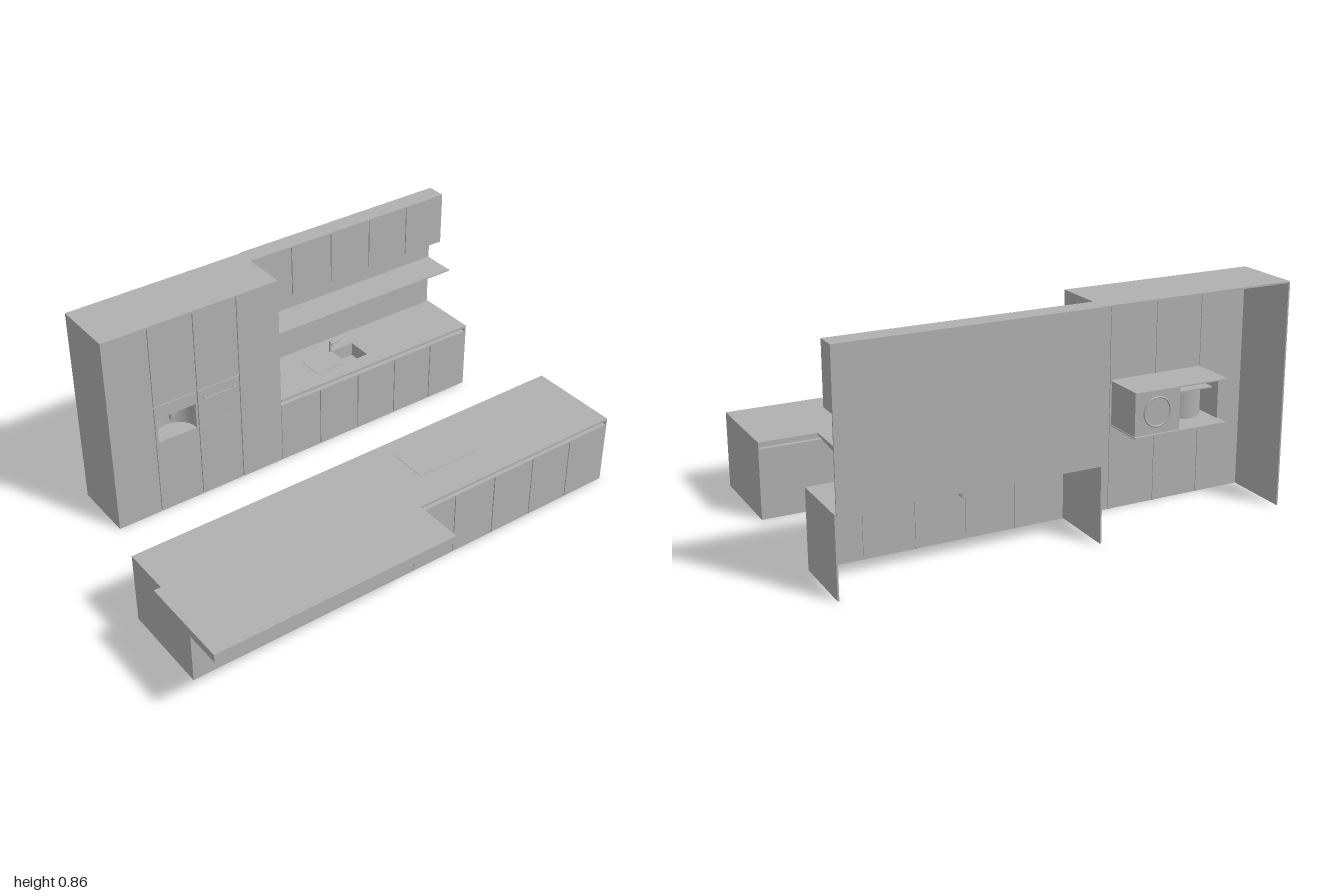
import * as THREE from 'three';

export function createModel() {
  const model = new THREE.Group();
  model.name = 'kitchen';
  const grey = new THREE.MeshStandardMaterial({ color: 0xb0b0b0, side: THREE.DoubleSide });
  grey.name = 'plain grey';

  const add = (name, geometry, parent = model) => {
    const mesh = new THREE.Mesh(geometry, grey);
    mesh.name = name;
    parent.add(mesh);
    return mesh;
  };
  // Box given by its minimum and maximum corners
  const box = (name, x0, x1, y0, y1, z0, z1, parent) => {
    const g = new THREE.BoxGeometry(x1 - x0, y1 - y0, z1 - z0);
    g.translate((x0 + x1) / 2, (y0 + y1) / 2, (z0 + z1) / 2);
    return add(name, g, parent);
  };
  const group = (name) => {
    const g = new THREE.Group();
    g.name = name;
    model.add(g);
    return g;
  };
  const T = 0.006; // panel thickness
  const GAP = 0.002; // half of a door seam
  // Row of door fronts split at the given x positions; z is the outer face
  const doors = (name, xs, y0, y1, z, parent, dir = 1) => {
    for (let i = 0; i + 1 < xs.length; i++) {
      const a = xs[i] + (i ? GAP : 0);
      const b = xs[i + 1] - (i + 2 < xs.length ? GAP : 0);
      box(name, a, b, y0, y1, Math.min(z, z - dir * T), Math.max(z, z - dir * T), parent);
      if (i) {
        const s = z - dir * T;
        box('seamStrip', xs[i] - 0.004, xs[i] + 0.004, y0, y1, Math.min(s, s - dir * 0.003), Math.max(s, s - dir * 0.003), parent);
      }
    }
  };
  // Recessed grip channel between the doors and the worktop
  const grip = (x0, x1, z, dir, parent) => {
    const inner = z - dir * 0.022;
    box('gripBack', x0, x1, 0.272, 0.29, Math.min(inner, inner + dir * 0.003), Math.max(inner, inner + dir * 0.003), parent);
    box('gripFloor', x0, x1, 0.27, 0.273, Math.min(z, inner), Math.max(z, inner), parent);
  };
  const bays = [0.02, 0.215, 0.41, 0.605, 0.8, 0.994];

  // Island with open underside
  const island = group('island');
  box('islandTop', -0.955, 1, 0.29, 0.3, 0.07, 0.455, island);
  box('islandLeftEnd', 0.994, 1, 0, 0.29, 0.07, 0.455, island);
  box('islandRightEnd', -0.955, -0.949, 0, 0.29, 0.07, 0.455, island);
  box('islandFrontPanel', -0.949, 0.018, 0, 0.29, 0.449, 0.455, island);
  doors('islandDoor', bays, 0, 0.272, 0.455, island);
  grip(0.02, 0.994, 0.455, 1, island);
  box('islandBackPanel', -0.949, 0.02, 0, 0.29, 0.07, 0.076, island);
  doors('islandBackDoor', [0.02, 0.21, 0.994], 0, 0.272, 0.07, island, -1);
  grip(0.02, 0.994, 0.07, -1, island);
  box('cooktop', 0.16, 0.44, 0.3, 0.3015, 0.15, 0.31, island);

  // Raised dining top on the island
  box('tableTop', -1, 0.018, 0.3, 0.333, 0.305, 0.69);

  // Tall cabinet, open at the back and underneath
  const tall = group('tallCabinet');
  const [a, b, c, d, e] = [-0.757, -0.565, -0.37, -0.175, 0.018];
  box('tallTop', a, e, 0.854, 0.86, -0.687, -0.42, tall);
  box('tallRightSide', a, a + T, 0, 0.854, -0.687, -0.42, tall);
  box('tallLeftSide', e - T, e, 0, 0.854, -0.687, -0.42, tall);
  box('tallDoor', a, b - GAP, 0, 0.854, -0.426, -0.42, tall);
  box('tallDoor', d + GAP, e, 0, 0.854, -0.426, -0.42, tall);
  doors('upperTallDoor', [b + GAP, c, d - GAP], 0.502, 0.854, -0.42, tall);
  doors('lowerTallDoor', [b + GAP, c, d - GAP], 0, 0.33, -0.42, tall);
  for (const x of [b, d]) box('seamStrip', x - 0.004, x + 0.004, 0, 0.854, -0.429, -0.426, tall);

  // Appliance compartment behind the doors
  box('compartmentFloor', b, d, 0.328, 0.333, -0.6, -0.421, tall);
  box('compartmentRoof', b, d, 0.495, 0.5, -0.6, -0.426, tall);
  box('compartmentSide', b, b + 0.004, 0.333, 0.495, -0.55, -0.427, tall);

  // Coffee niche with a curved back wall
  const niche = group('coffeeNiche');
  const wall = new THREE.CylinderGeometry(0.086, 0.086, 0.11, 24, 1, true, Math.PI / 2, Math.PI);
  add('nicheWall', wall, niche).position.set(-0.467, 0.389, -0.422);
  box('nicheTop', -0.555, -0.38, 0.444, 0.449, -0.52, -0.422, niche);
  box('nicheFascia', b + GAP, c - GAP, 0.444, 0.498, -0.426, -0.42, niche);
  for (const [x0, x1] of [[b + GAP, -0.553], [-0.381, c - GAP]])
    box('nicheFrame', x0, x1, 0.333, 0.444, -0.426, -0.42, niche);
  box('spoutBody', -0.482, -0.452, 0.42, 0.444, -0.5, -0.445, niche);
  const spout = add('spout', new THREE.CylinderGeometry(0.011, 0.011, 0.03, 16), niche);
  spout.position.set(-0.467, 0.407, -0.46);

  // Oven with bar handle and a fan ring on its rear
  const oven = group('oven');
  box('ovenBody', c + 0.003, d - 0.003, 0.333, 0.495, -0.59, -0.426, oven);
  box('ovenFront', c + GAP, d - GAP, 0.333, 0.498, -0.426, -0.42, oven);
  box('ovenHandle', -0.345, -0.2, 0.459, 0.465, -0.409, -0.404, oven);
  for (const x of [-0.342, -0.208]) box('handlePost', x, x + 0.005, 0.459, 0.465, -0.42, -0.409, oven);
  add('fanRing', new THREE.TorusGeometry(0.055, 0.004, 8, 32), oven).position.set(-0.272, 0.415, -0.59);

  // Base cabinet along the wall, open at the back and underneath
  const base = group('baseCabinet');
  box('baseEnd', 0.994, 1, 0, 0.29, -0.69, -0.42, base);
  doors('baseDoor', bays, 0, 0.272, -0.42, base);
  grip(0.02, 0.994, -0.42, 1, base);

  // Worktop with the sink opening cut out
  const sink = { x0: 0.4, x1: 0.51, z0: -0.6, z1: -0.49 };
  const top = new THREE.Shape([[0.02, 0.42], [1, 0.42], [1, 0.69], [0.02, 0.69]].map((p) => new THREE.Vector2(...p)));
  top.holes.push(new THREE.Path([[0.4, 0.49], [0.4, 0.6], [0.51, 0.6], [0.51, 0.49]].map((p) => new THREE.Vector2(...p))));
  const topGeometry = new THREE.ExtrudeGeometry(top, { depth: 0.01, bevelEnabled: false });
  topGeometry.rotateX(-Math.PI / 2);
  topGeometry.translate(0, 0.29, 0);
  add('worktop', topGeometry, base);
  const { x0, x1, z0, z1 } = sink;
  box('sinkFloor', x0, x1, 0.237, 0.24, z0, z1, base);
  for (const x of [x0 - 0.003, x1]) box('sinkSide', x, x + 0.003, 0.237, 0.29, z0, z1, base);
  for (const z of [z0 - 0.003, z1]) box('sinkSide', x0, x1, 0.237, 0.29, z, z + 0.003, base);
  box('drainBoard', 0.25, 0.385, 0.3, 0.3015, -0.6, -0.49, base);

  // Tap
  const tap = group('tap');
  const cyl = (name, r, h) => add(name, new THREE.CylinderGeometry(r, r, h, 12), tap);
  cyl('tapColumn', 0.006, 0.053).position.set(0.397, 0.3265, -0.602);
  const arm = cyl('tapSpout', 0.004, 0.055);
  arm.rotation.z = Math.PI / 2;
  arm.position.set(0.42, 0.337, -0.602);
  const lever = cyl('tapLever', 0.003, 0.028);
  lever.rotation.x = Math.PI / 2;
  lever.position.set(0.397, 0.34, -0.588);

  // Wall panel, wall cabinets and tapered shelf
  box('wallPanel', 0.018, 0.994, 0.295, 0.86, -0.692, -0.686);
  const upper = group('wallCabinets');
  box('wallCabinetTop', 0.018, 0.994, 0.854, 0.86, -0.686, -0.612, upper);
  box('wallCabinetFloor', 0.018, 0.994, 0.635, 0.641, -0.686, -0.618, upper);
  box('wallCabinetEnd', 0.988, 0.994, 0.641, 0.854, -0.686, -0.618, upper);
  doors('wallDoor', [0.018, 0.215, 0.41, 0.605, 0.8, 0.994], 0.635, 0.854, -0.612, upper);

  const profile = new THREE.Shape([[0.542, 0.528], [0.542, 0.522], [0.688, 0.508], [0.688, 0.528]].map((p) => new THREE.Vector2(...p)));
  const shelf = new THREE.ExtrudeGeometry(profile, { depth: 0.974, bevelEnabled: false });
  shelf.rotateY(Math.PI / 2);
  shelf.translate(0.018, 0, 0);
  add('shelf', shelf);

  return model;
}
